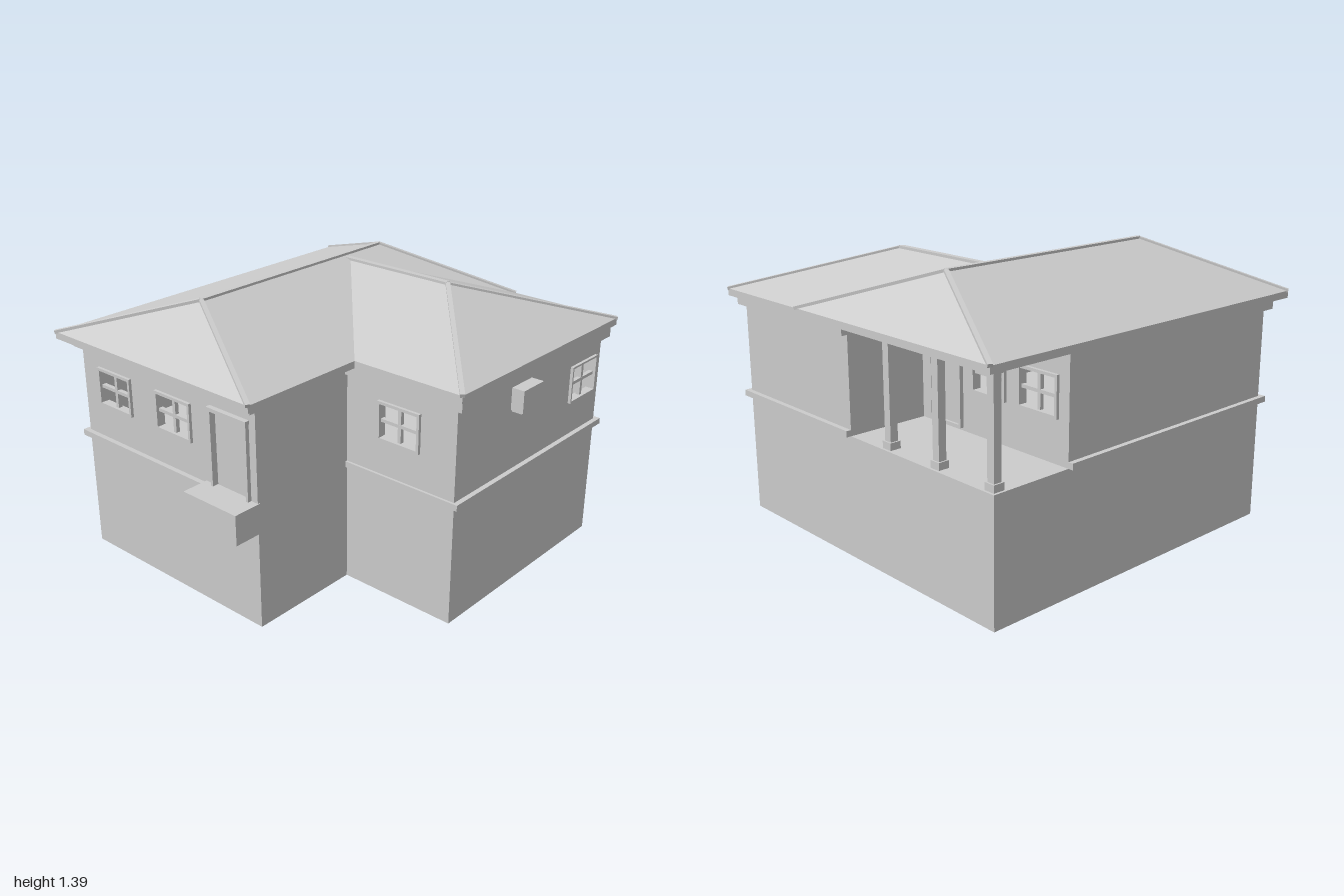
import * as THREE from 'three';

const FLOOR = 0.605, TOP = 1.13, EAVE = 1.165, WALL = 0.03;

export function createModel() {
  const house = new THREE.Group();
  house.name = 'house';
  const grey = new THREE.MeshStandardMaterial({ color: 0xcccccc });
  grey.name = 'plain grey';

  const add = (name, geometry, parent = house) => {
    const mesh = new THREE.Mesh(geometry, grey);
    mesh.name = name;
    parent.add(mesh);
    return mesh;
  };
  // Box given by its extents
  const box = (name, x0, x1, y0, y1, z0, z1, parent) => {
    const mesh = add(name, new THREE.BoxGeometry(x1 - x0, y1 - y0, z1 - z0), parent);
    mesh.position.set((x0 + x1) / 2, (y0 + y1) / 2, (z0 + z1) / 2);
    return mesh;
  };
  // L-shaped or other floor plan (x, z pairs) raised from y0 to y1
  const slab = (name, plan, y0, y1) => {
    const shape = new THREE.Shape(plan.map(([x, z]) => new THREE.Vector2(x, -z)));
    const g = new THREE.ExtrudeGeometry(shape, { depth: y1 - y0, bevelEnabled: false });
    add(name, g.rotateX(-Math.PI / 2).translate(0, y0, 0));
  };
  const lPlan = (x0, xWing, x1, zBack, zWing, zFront) => [
    [x0, zFront], [xWing, zFront], [xWing, zWing], [x1, zWing], [x1, zBack], [x0, zBack]];

  // Rectangular ring standing proud of a wall
  const ring = (name, a, b, y0, y1, t, z0, z1, parent) => {
    box(name, a, b, y1 - t, y1, z0, z1, parent);
    box(name, a, b, y0, y0 + t, z0, z1, parent);
    box(name, a, a + t, y0 + t, y1 - t, z0, z1, parent);
    box(name, b - t, b, y0 + t, y1 - t, z0, z1, parent);
  };
  const makeWindow = ([, a, b, y0, y1, t], parent) => {
    const u = (a + b) / 2, v = (y0 + y1) / 2;
    ring('windowFrame', a, b, y0, y1, t, -WALL, 0.015, parent);
    box('windowMullion', u - 0.009, u + 0.009, y0 + t, y1 - t, -0.02, 0, parent);
    box('windowCrossbar', a + t, b - t, v - 0.008, v + 0.008, -0.021, 0.001, parent);
  };
  const makeDoor = ([, a, b, y0, y1], parent) => {
    box('doorPanel', a + 0.012, b - 0.012, y0, y1 - 0.02, -0.028, -0.012, parent);
    box('doorJamb', a, a + 0.014, y0, y1, -WALL, 0.02, parent);
    box('doorJamb', b - 0.014, b, y0, y1, -WALL, 0.02, parent);
    box('doorHead', a - 0.004, b + 0.004, y1 - 0.018, y1, -WALL, 0.025, parent);
  };
  // Upper-storey wall in its own frame: outer face at z = 0, facing +z
  const wall = (name, a, b, x, z, turn, openings = []) => {
    const group = new THREE.Group();
    group.name = name;
    group.position.set(x, 0, z);
    group.rotation.y = turn * Math.PI / 2;
    const rect = (Type, l, r, d, u) => new Type([[l, d], [r, d], [r, u], [l, u]].map((p) => new THREE.Vector2(...p)));
    const shape = rect(THREE.Shape, a, b, FLOOR, TOP);
    for (const o of openings) {
      shape.holes.push(rect(THREE.Path, o[1] + 0.004, o[2] - 0.004, o[3] + 0.004, o[4] - 0.004));
      (o[0] === 'window' ? makeWindow : makeDoor)(o, group);
    }
    const g = new THREE.ExtrudeGeometry(shape, { depth: WALL, bevelEnabled: false });
    add(name + 'Panel', g.translate(0, 0, -WALL), group);
    house.add(group);
  };

  // Ground storey
  slab('groundStorey', lPlan(-0.91, 0.28, 0.905, -0.925, 0.27, 0.86), 0, FLOOR);

  // Upper storey walls
  wall('frontWall', -0.91, 0.28, 0, 0.86, 0, [
    ['window', -0.79, -0.55, 0.81, 1.005, 0.014],
    ['window', -0.37, -0.13, 0.81, 1.005, 0.014],
    ['door', 0, 0.24, 0.64, 1.035]]);
  wall('wingFrontWall', 0.28 - WALL, 0.905, 0, 0.27, 0, [['window', 0.47, 0.71, 0.81, 1.005, 0.014]]);
  wall('frontSideWall', -0.86, -0.27, 0.28, 0, 1);
  wall('wingSideWall', -0.27, 0.925, 0.905, 0, 1, [['window', 0.65, 0.88, 0.81, 1, 0.01]]);
  wall('leftHandWall', -0.5, 0.86, -0.91, 0, -1);
  wall('backWall', -0.905, -0.05, 0, -0.925, 2);
  wall('porchSideWall', -0.925, -0.5, 0.05, 0, -1);
  wall('porchBackWall', -0.08, 0.91, 0, -0.5, 2, [
    ['door', 0.02, 0.24, 0.62, 1.03],
    ['window', 0.31, 0.53, 0.81, 1.005, 0.014],
    ['window', 0.61, 0.85, 0.81, 1.005, 0.014]]);

  // Floor band and cornice around the outer walls
  const courses = [['floorBand', FLOOR, 0.635, 0.025], ['cornice', 1.08, TOP, 0.03]];
  for (const [name, y0, y1, d] of courses) {
    box(name, -0.91 - d, 0.28, y0, y1, 0.85, 0.86 + d);
    box(name, 0.28, 0.905 + d, y0, y1, 0.26, 0.27 + d / 2);
    box(name, 0.895, 0.905 + d, y0, y1, -0.925 - d, 0.27);
    box(name, 0.05, 0.905, y0, y1, -0.925 - d, -0.915);
    box(name, -0.91 - d, -0.9, y0, y1, -0.5, 0.86);
  }
  box('porchCornice', -0.94, 0.05, 1.08, TOP, -0.53, -0.49);

  // Landing under the front door
  box('doorLanding', -0.05, 0.285, 0.495, 0.645, 0.85, 1);

  // Porch columns
  for (const x of [-0.87, -0.53, -0.2]) {
    const column = new THREE.Group();
    column.name = 'porchColumn';
    house.add(column);
    const square = (name, h, y0, y1) => box(name, x - h, x + h, y0, y1, -0.885 - h, -0.885 + h, column);
    square('columnShaft', 0.02, FLOOR, TOP);
    square('columnBase', 0.028, FLOOR, FLOOR + 0.035);
    square('columnCapital', 0.028, TOP - 0.035, TOP);
  }

  // Wall unit with two brackets
  box('airConditioner', 0.89, 0.97, 0.945, 1.055, -0.3, -0.14);
  for (const z of [-0.285, -0.155]) box('bracket', 0.9, 0.96, 0.935, 0.945, z - 0.006, z + 0.006);

  // Eaves slab
  slab('eaves', lPlan(-0.975, 0.345, 0.94, -1, 0.295, 0.96), TOP, EAVE);

  // Roof slopes, each a flat polygon listed anticlockwise from outside
  const slopes = (name, faces) => {
    const pos = [];
    for (const f of faces) for (let i = 1; i < f.length - 1; i++) pos.push(...f[0], ...f[i], ...f[i + 1]);
    const g = new THREE.BufferGeometry();
    g.setAttribute('position', new THREE.Float32BufferAttribute(pos, 3));
    g.computeVertexNormals();
    add(name, g);
  };
  const fl = [-0.975, EAVE, 0.96], fr = [0.345, EAVE, 0.96];
  const bl = [-0.975, EAVE, -1], br = [0.345, EAVE, -1];
  const rf = [-0.31, 1.385, 0.61], rb = [-0.31, 1.385, -0.65];
  slopes('mainRoof', [[fl, fr, rf], [fr, br, rb, rf], [br, bl, rb], [bl, fl, rf, rb]]);

  const wf = [0.94, EAVE, 0.295], wb = [0.94, EAVE, -1], wr = [0.355, 1.37, -0.375];
  const join = [-0.31, 1.37, -0.375];
  slopes('wingRoof', [
    [[-0.31, EAVE, 0.295], wf, wr, join],
    [wf, wb, wr],
    [wb, [-0.31, EAVE, -1], join, wr]]);

  // Ridge and hip caps
  const cap = (name, a, b, w) => {
    const p = new THREE.Vector3(...a), q = new THREE.Vector3(...b);
    const mesh = add(name, new THREE.BoxGeometry(w, 0.016, p.distanceTo(q)));
    mesh.position.copy(p).lerp(q, 0.5);
    mesh.lookAt(q);
  };
  cap('mainRidgeCap', rf, rb, 0.025);
  cap('wingRidgeCap', join, wr, 0.03);
  for (const [a, b] of [[fl, rf], [fr, rf], [bl, rb], [br, rb], [wf, wr], [wb, wr]]) cap('hipCap', a, b, 0.022);

  return house;
}
